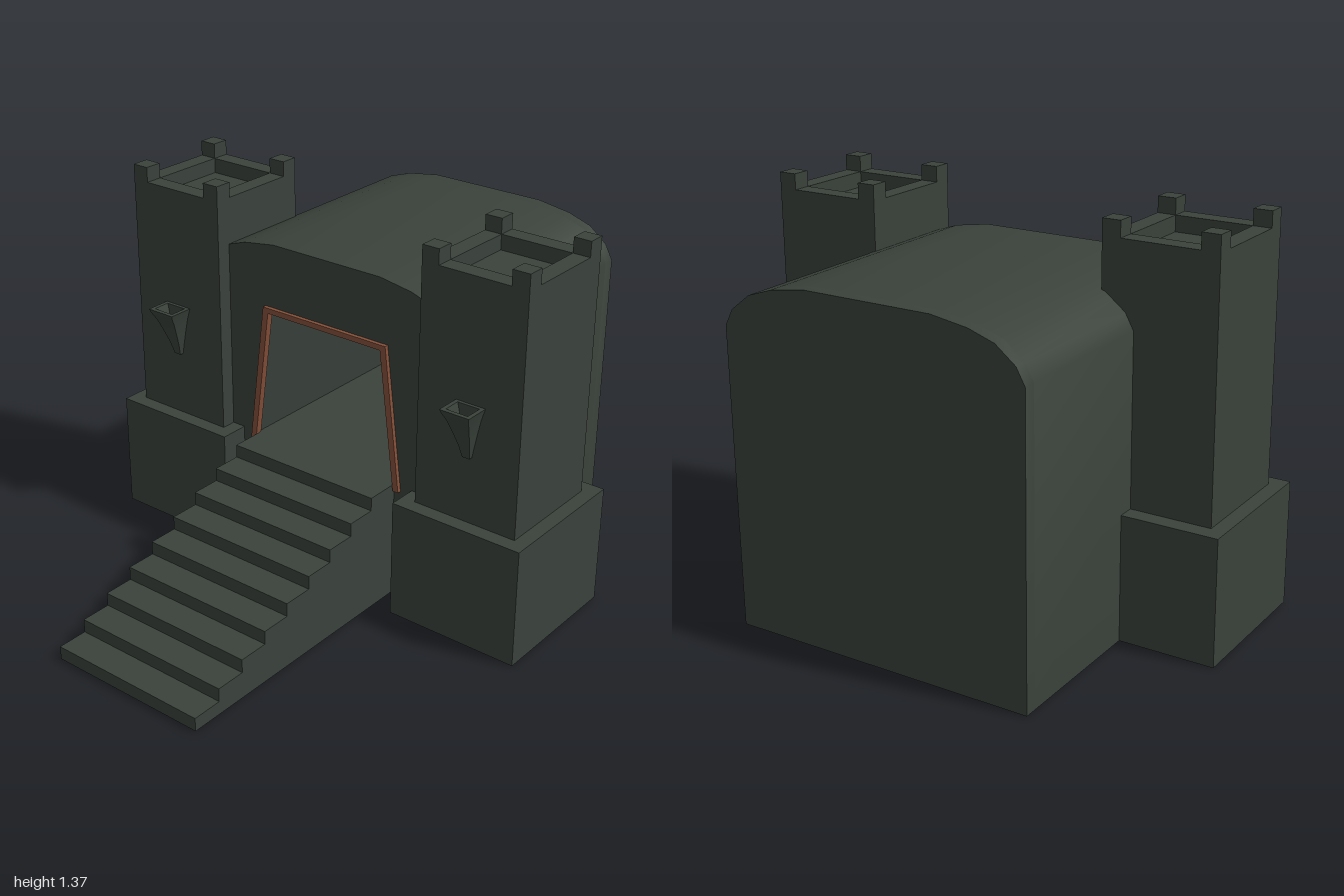
import * as THREE from 'three';
import { toCreasedNormals } from 'three/addons/utils/BufferGeometryUtils.js';

export function createModel() {
  const model = new THREE.Group();
  model.name = 'gatehouse';
  const stone = new THREE.MeshStandardMaterial({ color: 0x3a423b });
  stone.name = 'dark stone';
  const timber = new THREE.MeshStandardMaterial({ color: 0x85503a });
  timber.name = 'reddish timber';

  const add = (parent, name, geometry, material = stone) => {
    const mesh = new THREE.Mesh(geometry, material);
    mesh.name = name;
    parent.add(mesh);
    return mesh;
  };
  // Box given by its limits on each axis
  const box = (parent, name, x0, x1, y0, y1, z0, z1) =>
    add(parent, name, new THREE.BoxGeometry(x1 - x0, y1 - y0, z1 - z0))
      .position.set((x0 + x1) / 2, (y0 + y1) / 2, (z0 + z1) / 2);
  const points = (list) => list.map(([x, y]) => new THREE.Vector2(x, y));
  const extrude = (shape, depth) =>
    new THREE.ExtrudeGeometry(shape, { depth, bevelEnabled: false });

  // Hall with a vaulted roof and a tapering passage
  const half = [[0.55, 0], [0.55, 1.03], [0.52, 1.085], [0.45, 1.14], [0.36, 1.17], [0.23, 1.19]];
  const outline = points([...half, ...half.map(([x, y]) => [-x, y]).reverse()]);
  const hall = new THREE.Shape(outline);
  hall.holes.push(new THREE.Path(points([[-0.315, 0.44], [-0.255, 0.94], [0.255, 0.94], [0.315, 0.44]])));
  add(model, 'hall', toCreasedNormals(extrude(hall, 0.93), 0.6)).position.z = -0.955;
  add(model, 'hallBackWall', toCreasedNormals(extrude(new THREE.Shape(outline), 0.045), 0.6)).position.z = -1;

  // Timber door frame
  const frame = new THREE.Shape(points([
    [-0.335, 0.42], [-0.312, 0.42], [-0.246, 0.935], [0.246, 0.935], [0.312, 0.42], [0.335, 0.42],
    [0.268, 0.955], [-0.268, 0.955],
  ]));
  add(model, 'doorFrame', extrude(frame, 0.025), timber).position.z = -0.035;

  // Stairs, each step solid down to the ground
  const stairs = new THREE.Group();
  stairs.name = 'stairs';
  model.add(stairs);
  const steps = 9, rise = 0.44 / steps, run = 0.112;
  for (let i = 0; i < steps; i++) {
    const front = 1 - i * run;
    box(stairs, 'step', -0.307, 0.307, 0, (i + 1) * rise, i === steps - 1 ? -0.03 : front - run, front);
  }

  // Flared bracket: rectangles stacked from bottom to top, then down into the cup
  const bracketGeometry = () => {
    const rings = [
      // half width, back, front, height
      [0.014, 0.028, 0.045, 0.685], [0.022, 0.028, 0.058, 0.73], [0.032, 0.028, 0.078, 0.78],
      [0.043, 0.028, 0.1, 0.83], [0.053, 0.028, 0.12, 0.863], [0.057, 0.028, 0.124, 0.875],
      [0.042, 0.042, 0.108, 0.875], [0.03, 0.045, 0.09, 0.835],
    ];
    const position = [], index = [];
    rings.forEach(([w, b, f, y]) => position.push(-w, y, f, w, y, f, w, y, b, -w, y, b));
    for (let r = 0; r < rings.length - 1; r++) {
      for (let k = 0; k < 4; k++) {
        const a = r * 4 + k, b = r * 4 + (k + 1) % 4;
        index.push(a, b, b + 4, a, b + 4, a + 4);
      }
    }
    const last = (rings.length - 1) * 4;
    index.push(0, 2, 1, 0, 3, 2, last, last + 1, last + 2, last, last + 2, last + 3);
    const geometry = new THREE.BufferGeometry();
    geometry.setAttribute('position', new THREE.Float32BufferAttribute(position, 3));
    geometry.setIndex(index);
    return toCreasedNormals(geometry, 0.5);
  };

  // A tower on each side
  for (const side of [1, -1]) {
    const tower = new THREE.Group();
    tower.name = side > 0 ? 'leftTower' : 'rightTower';
    tower.position.x = side * 0.635;
    model.add(tower);
    const w = 0.2, t = 0.065, z0 = -0.39, z1 = 0.03;
    box(tower, 'plinth', -0.253, 0.253, 0, 0.44, -0.45, 0.085);
    box(tower, 'shaft', -w, w, 0.44, 1.26, z0, z1);

    // Parapet around the sunken roof
    box(tower, 'parapetFront', -w, w, 1.26, 1.315, z1 - t, z1);
    box(tower, 'parapetBack', -w, w, 1.26, 1.315, z0, z0 + t);
    for (const s of [1, -1]) {
      const x0 = s > 0 ? w - t : -w;
      box(tower, 'parapetSide', x0, x0 + t, 1.26, 1.315, z0 + t, z1 - t);
      // Corner merlons
      for (const z of [z0, z1 - t]) box(tower, 'merlon', x0, x0 + t, 1.315, 1.37, z, z + t);
    }
    add(tower, 'torchBracket', bracketGeometry()).position.x = side * 0.007;
  }
  return model;
}
